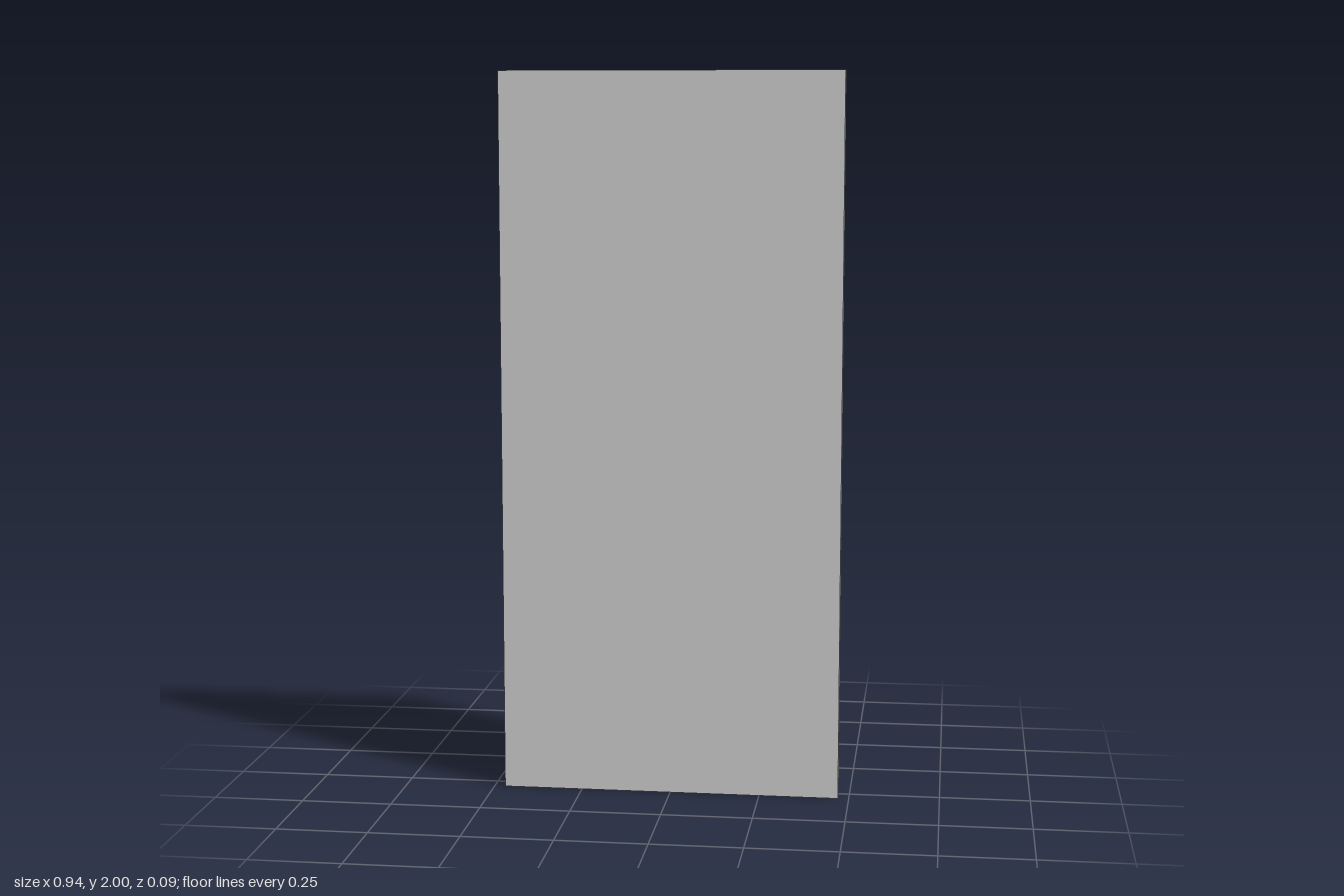
import * as THREE from 'three';

const BACK = 0.005; // z of the slab's panelled face

// Raised panel: a box whose outer face is drawn in to leave sloping borders
function panelGeometry(w, h, depth, insetX, insetY) {
  const geo = new THREE.BoxGeometry(w, h, depth);
  const p = geo.attributes.position;
  for (let i = 0; i < p.count; i++) {
    if (p.getZ(i) < 0) {
      p.setX(i, p.getX(i) - Math.sign(p.getX(i)) * insetX);
      p.setY(i, p.getY(i) - Math.sign(p.getY(i)) * insetY);
    }
  }
  geo.computeVertexNormals();
  return geo;
}

// Turned part whose axis points out of the panelled face
function turned(name, points, material) {
  const geo = new THREE.LatheGeometry(points.map(([r, y]) => new THREE.Vector2(r, y)), 32);
  const mesh = new THREE.Mesh(geo, material);
  mesh.name = name;
  mesh.rotation.x = -Math.PI / 2;
  return mesh;
}

export function createModel() {
  const model = new THREE.Group();
  model.name = 'door';
  const grey = new THREE.MeshStandardMaterial({ color: 0xcccccc });

  // Door slab
  const slab = new THREE.Mesh(new THREE.BoxGeometry(0.94, 2, 0.04), grey);
  slab.name = 'slab';
  slab.position.set(0, 1, 0.025);
  model.add(slab);

  // Four raised panels, two columns by two rows
  const depth = 0.018;
  const panelGeo = panelGeometry(0.294, 0.746, depth, 0.045, 0.125);
  for (const [row, y] of [['lower', 0.378], ['upper', 1.505]]) {
    for (const [side, x] of [['Right', -0.224], ['Left', 0.173]]) {
      const panel = new THREE.Mesh(panelGeo, grey);
      panel.name = `${row}${side}Panel`;
      panel.position.set(x, y, BACK - depth / 2);
      model.add(panel);
    }
  }

  // Knob with its round backing plate
  const handle = new THREE.Group();
  handle.name = 'handle';
  handle.position.set(0.37, 0.98, BACK);
  const plate = new THREE.Mesh(new THREE.CylinderGeometry(0.048, 0.048, 0.009, 32), grey);
  plate.name = 'backPlate';
  plate.rotation.x = -Math.PI / 2;
  plate.position.z = -0.0045;
  handle.add(plate);
  handle.add(turned('knob', [
    [0.010, 0.008], [0.010, 0.025], [0.013, 0.028], [0.024, 0.0285],
    [0.031, 0.031], [0.035, 0.036], [0.035, 0.041], [0.032, 0.046],
    [0.026, 0.049], [0.018, 0.0505], [0.009, 0.0508], [0, 0.0508],
  ], grey));
  model.add(handle);

  return model;
}
